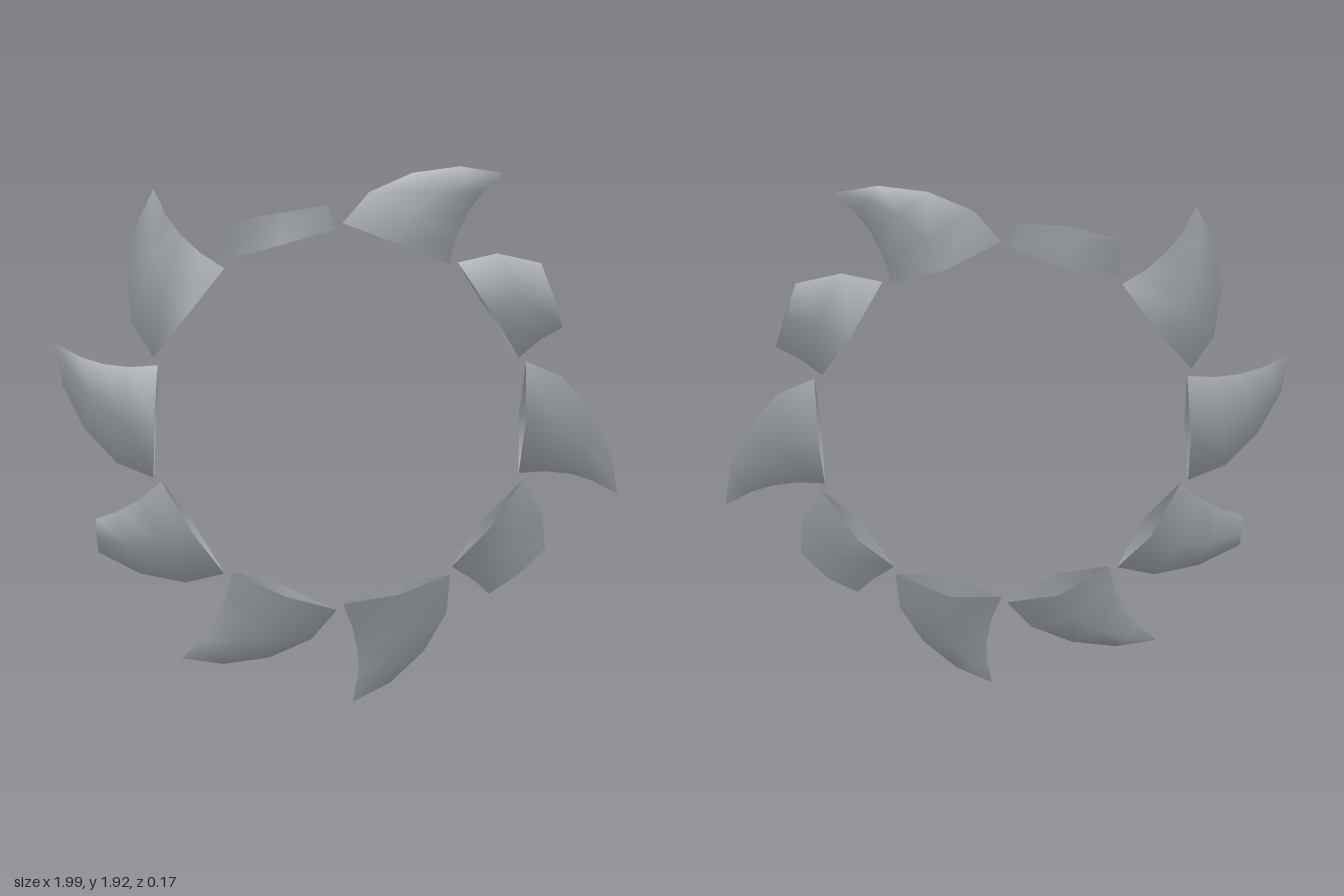
import * as THREE from 'three';
import { toCreasedNormals } from 'three/addons/utils/BufferGeometryUtils.js';

const CENTER_Y = 1.036;

// Spike at angle 0, from base to tip: outer edge, inner edge (x, y) and ridge half-depth
const OUTER = [[0.66, 0.204], [0.79, 0.149], [0.90, 0.026], [0.972, -0.124], [0.997, -0.274]];
const INNER = [[0.64, -0.196], [0.738, -0.19], [0.83, -0.201], [0.908, -0.226], [0.997, -0.274]];
const DEPTH = [0.085, 0.064, 0.043, 0.021, 0];
const TIP = OUTER.length - 1;

// Length of each spike in sections, every 36 degrees; below TIP it is broken off
const LENGTHS = [TIP, 1.97, TIP, 0.92, TIP, TIP, 3, TIP, TIP, 1.78];

// Diamond cross-section at position t along the spike
function section(t) {
  const i = Math.min(Math.floor(t), TIP - 1);
  const f = t - i;
  const mix = (a, b) => a + (b - a) * f;
  const o = [mix(OUTER[i][0], OUTER[i + 1][0]), mix(OUTER[i][1], OUTER[i + 1][1])];
  const n = [mix(INNER[i][0], INNER[i + 1][0]), mix(INNER[i][1], INNER[i + 1][1])];
  const z = mix(DEPTH[i], DEPTH[i + 1]);
  const mx = (o[0] + n[0]) / 2;
  const my = (o[1] + n[1]) / 2;
  return [[...o, 0], [mx, my, z], [...n, 0], [mx, my, -z]];
}

// Hollow curved spike, open at the base, ending in a point or a flat break
function spikeGeometry(length) {
  const stops = [];
  for (let t = 0; t < length; t++) stops.push(t);
  stops.push(length);
  const rings = stops.map(section);
  const pos = [];
  const tri = (a, b, c) => pos.push(...a, ...b, ...c);
  for (let i = 0; i < rings.length - 1; i++) {
    const pointed = stops[i + 1] === TIP;
    for (let k = 0; k < 4; k++) {
      const j = (k + 1) % 4;
      const a = rings[i], b = rings[i + 1];
      tri(a[k], a[j], b[j]);
      if (!pointed) tri(a[k], b[j], b[k]);
    }
  }
  if (length < TIP) {
    const [o, f, n, r] = rings[rings.length - 1];
    tri(o, f, n);
    tri(o, n, r);
  }
  const geometry = new THREE.BufferGeometry();
  geometry.setAttribute('position', new THREE.Float32BufferAttribute(pos, 3));
  return toCreasedNormals(geometry, Math.PI / 3);
}

export function createModel() {
  const model = new THREE.Group();
  model.name = 'spikeRing';
  const steel = new THREE.MeshStandardMaterial({ color: 0x8a8e94, side: THREE.DoubleSide });
  steel.name = 'steel grey';

  LENGTHS.forEach((length, i) => {
    const spike = new THREE.Mesh(spikeGeometry(length), steel);
    spike.name = (length < TIP ? 'brokenSpike' : 'spike') + (i + 1);
    spike.position.y = CENTER_Y;
    spike.rotation.z = (i * Math.PI) / 5;
    model.add(spike);
  });
  return model;
}
